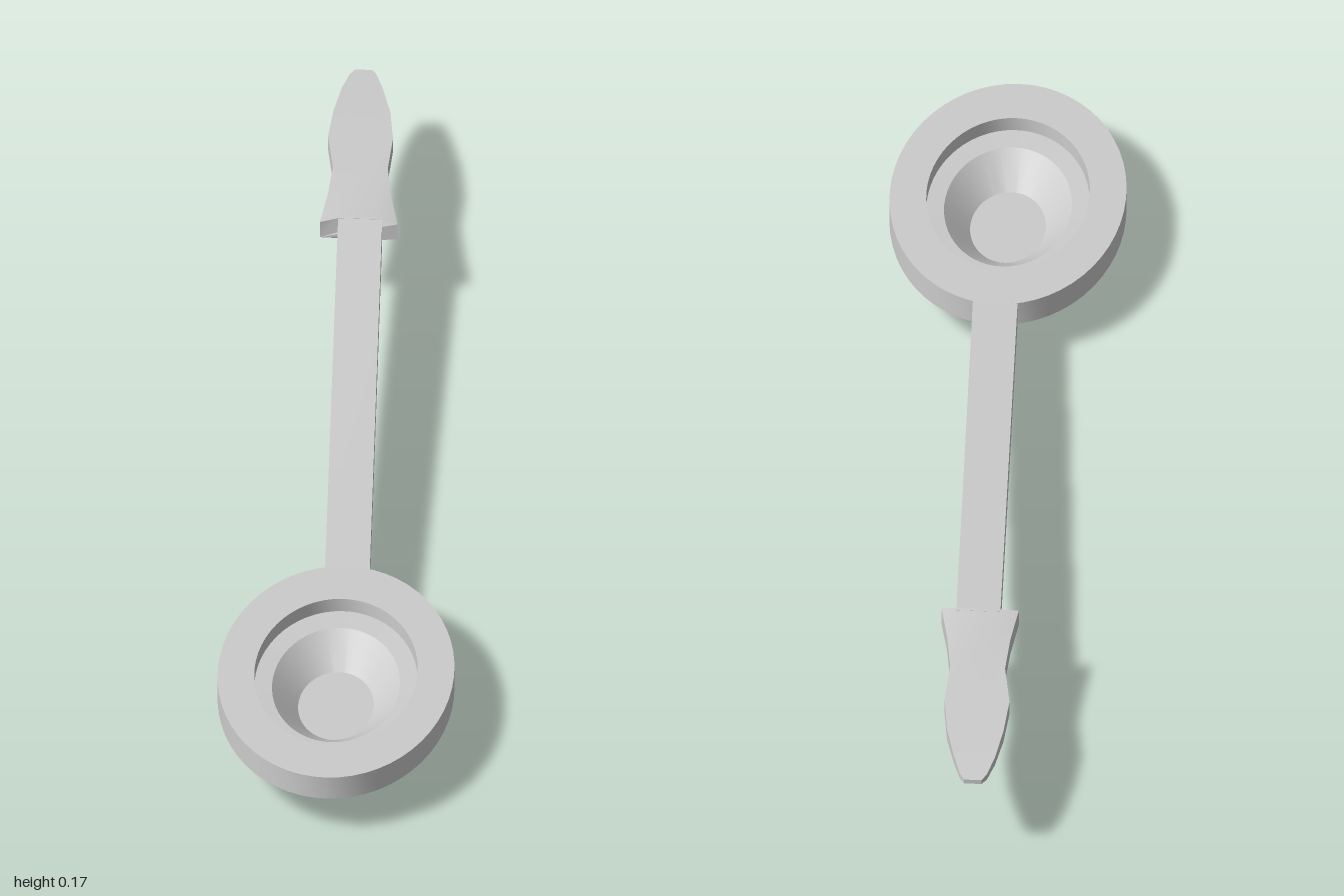
import * as THREE from 'three';
import { toCreasedNormals } from 'three/addons/utils/BufferGeometryUtils.js';

const grey = new THREE.MeshStandardMaterial({ color: 0xcccccc });

// Skin closed loops of [x, y, z] points, listed front to back, each counter-clockwise seen from the front
function loft(loops, crease) {
  const n = loops[0].length;
  const index = [];
  for (let s = 0; s < loops.length - 1; s++) {
    for (let i = 0; i < n; i++) {
      const j = (i + 1) % n;
      const a = s * n + i, b = s * n + j, c = a + n, d = b + n;
      index.push(a, c, b, b, c, d);
    }
  }
  const last = (loops.length - 1) * n;
  for (let i = 1; i < n - 1; i++) {
    index.push(0, i, i + 1);
    index.push(last, last + i + 1, last + i);
  }
  const geometry = new THREE.BufferGeometry();
  geometry.setAttribute('position', new THREE.Float32BufferAttribute(loops.flat(2), 3));
  geometry.setIndex(index);
  return toCreasedNormals(geometry, crease);
}

function addPart(group, name, geometry) {
  const mesh = new THREE.Mesh(geometry, grey);
  mesh.name = name;
  group.add(mesh);
}

export function createModel() {
  const group = new THREE.Group();
  group.name = 'spoon';

  // Oval bowl: underside, rim, stepped recess and inner floor
  const profile = [
    [0, 0], [0.2, 0], [0.56, 0.018], [1, 0.072], [1, 0.115],
    [0.69, 0.115], [0.69, 0.09], [0.54, 0.088], [0.32, 0.045], [0, 0.045],
  ].map(([r, y]) => new THREE.Vector2(r, y));
  const bowl = new THREE.LatheGeometry(profile, 56);
  bowl.scale(0.198, 1, 0.308);
  bowl.translate(0, 0, 0.692);
  addPart(group, 'bowl', toCreasedNormals(bowl, 0.25));

  // Slender rising stem, slightly skewed to the side
  const stem = [
    // z, left x, right x, bottom y, top y
    [0.41, -0.034, 0.041, 0.072, 0.1145],
    [0.38, -0.035, 0.04, 0.073, 0.115],
    [-0.55, -0.064, 0.01, 0.13, 0.173],
  ].map(([z, x0, x1, y0, y1]) => [[x0, y0, z], [x1, y0, z], [x1, y1, z], [x0, y1, z]]);
  addPart(group, 'stem', loft(stem, 0.3));

  // Waisted grip that thins towards a narrow tip; the collar is thicker in the middle
  const grip = [
    // z, left x, right x, bottom y, top y, bulge, sweep of the middle
    [-0.538, -0.094, 0.036, 0.137, 0.168, 0.005, -0.006],
    [-0.62, -0.085, 0.021, 0.138, 0.168, 0.002, 0],
    [-0.7, -0.081, 0.011, 0.139, 0.167, 0, 0],
    [-0.79, -0.094, 0.015, 0.14, 0.166, 0, 0],
    [-0.87, -0.089, 0.006, 0.142, 0.164, 0, 0],
    [-0.94, -0.079, -0.01, 0.145, 0.161, 0, 0],
    [-0.985, -0.068, -0.023, 0.147, 0.158, 0, 0],
    [-1, -0.06, -0.031, 0.149, 0.157, 0, 0],
  ].map(([z, x0, x1, y0, y1, bulge, sweep]) => {
    const a = x0 + (x1 - x0) * 0.24, b = x0 + (x1 - x0) * 0.8, m = z + sweep;
    return [
      [x0, y0, z], [a, y0 - bulge, m], [b, y0 - bulge, m], [x1, y0, z],
      [x1, y1, z], [b, y1 + bulge, m], [a, y1 + bulge, m], [x0, y1, z],
    ];
  });
  addPart(group, 'grip', loft(grip, 0.3));

  return group;
}
